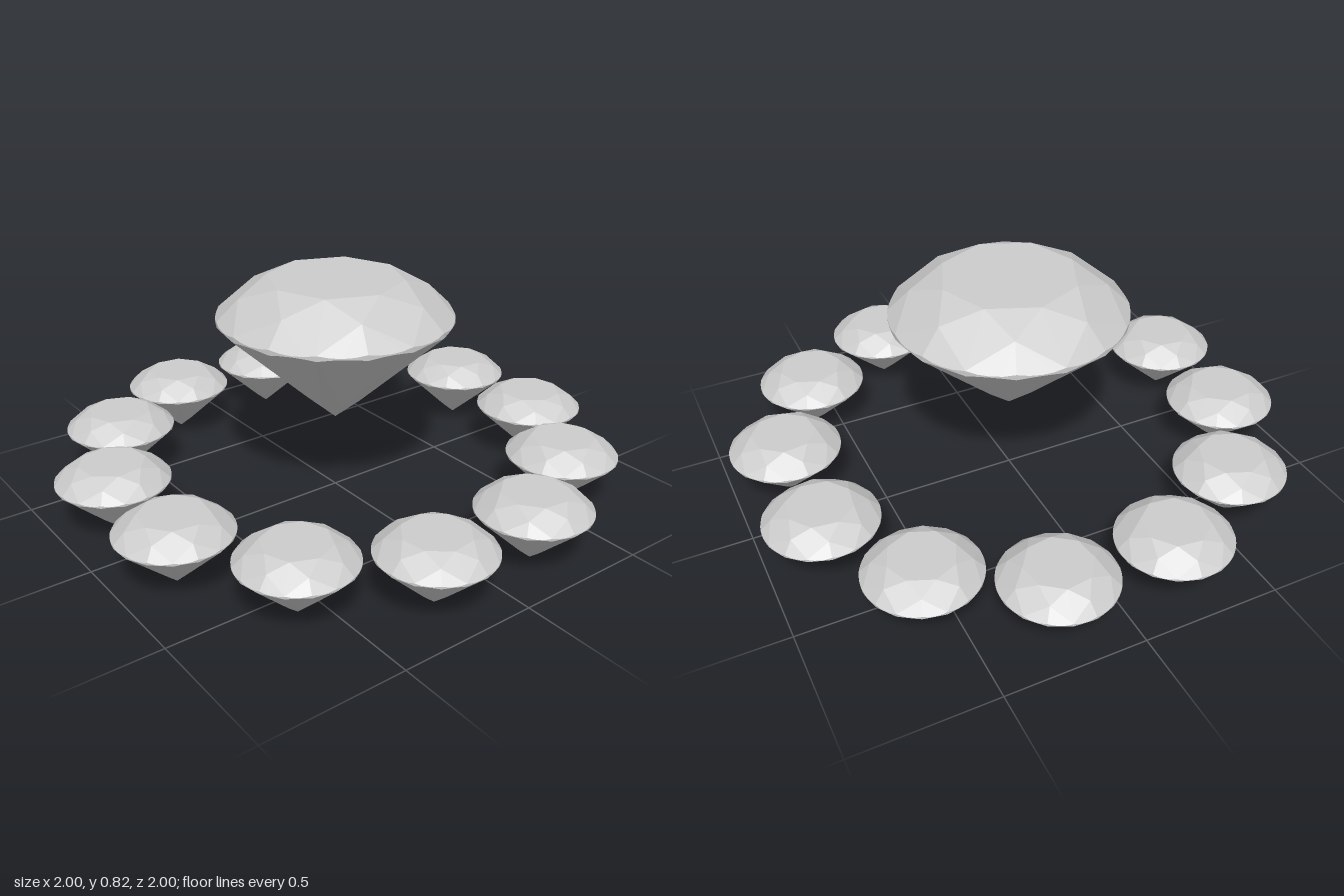
import * as THREE from 'three';

const R = 0.4235;                          // girdle radius of the large stone
const TABLE_R = 0.246, TABLE_Y = 0.537;    // flat top
const UPPER_Y = 0.408, LOWER_Y = 0.388;    // girdle edges at the facet corners
const CROWN_R = 0.345, PAVILION_R = 0.1;   // corners where kite facets are widest
const ARC = 4;                             // girdle steps per half facet
const STEP = Math.PI / 8;

const polar = (r, a, y) => new THREE.Vector3(r * Math.sin(a), y, r * Math.cos(a));

// Round brilliant cut with the culet at the origin
function brilliantGeometry() {
  const positions = [];
  const inside = new THREE.Vector3(0, 0.35, 0);

  // Flat convex polygon as a fan, turned to face outward
  function facet(...p) {
    for (let i = 1; i < p.length - 1; i++) {
      const tri = [p[0], p[i], p[i + 1]];
      const n = new THREE.Triangle(...tri).getNormal(new THREE.Vector3());
      if (n.dot(p[0].clone().sub(inside)) < 0) tri.reverse();
      tri.forEach((v) => positions.push(v.x, v.y, v.z));
    }
  }

  // Edge where a half facet meets the round girdle
  function girdleArc(corner, a0, a1, y) {
    const plane = new THREE.Plane().setFromCoplanarPoints(corner, polar(R, a0, y), polar(R, a1, y));
    return Array.from({ length: ARC + 1 }, (_, i) => {
      const v = polar(R, a0 + (a1 - a0) * i / ARC, 0);
      v.y = -(plane.normal.x * v.x + plane.normal.z * v.z + plane.constant) / plane.normal.y;
      return v;
    });
  }

  // Widest kite corners lie in the plane of the main facets
  const c = Math.cos(STEP);
  const crownY = TABLE_Y - (TABLE_Y - UPPER_Y) * (CROWN_R * c - TABLE_R) / (R - TABLE_R);
  const pavilionY = LOWER_Y * PAVILION_R * c / R;
  const culet = new THREE.Vector3();
  const table = Array.from({ length: 8 }, (_, k) => polar(TABLE_R, 2 * k * STEP, TABLE_Y));

  facet(...table);
  for (let k = 0; k < 8; k++) {
    const a = 2 * k * STEP;
    const crown = [-1, 1].map((s) => polar(CROWN_R, a + s * STEP, crownY));
    const pavilion = [-1, 1].map((s) => polar(PAVILION_R, a + s * STEP, pavilionY));
    facet(table[k], crown[0], polar(R, a, UPPER_Y), crown[1]);         // crown kite
    facet(table[k], crown[1], table[(k + 1) % 8]);                     // star
    facet(culet, pavilion[0], polar(R, a, LOWER_Y), pavilion[1]);      // pavilion main
    [-1, 1].forEach((s, i) => {
      const upper = girdleArc(crown[i], a, a + s * STEP, UPPER_Y);
      const lower = girdleArc(pavilion[i], a, a + s * STEP, LOWER_Y);
      facet(crown[i], ...upper);                                       // upper half
      facet(pavilion[i], ...lower);                                    // lower half
      for (let j = 0; j < ARC; j++) facet(upper[j], upper[j + 1], lower[j + 1], lower[j]);
    });
  }

  const geometry = new THREE.BufferGeometry();
  geometry.setAttribute('position', new THREE.Float32BufferAttribute(positions, 3));
  geometry.computeVertexNormals();
  return geometry;
}

export function createModel() {
  const model = new THREE.Group();
  model.name = 'gemRing';
  const stone = new THREE.MeshStandardMaterial({ color: 0xcccccc });
  stone.name = 'clearStone';
  stone.flatShading = true;
  const geometry = brilliantGeometry();

  // Large stone above the middle
  const centre = new THREE.Mesh(geometry, stone);
  centre.name = 'centreStone';
  centre.position.y = 0.284;
  model.add(centre);

  // Ring of twelve small stones
  const ring = new THREE.Group();
  ring.name = 'stoneRing';
  for (let i = 0; i < 12; i++) {
    const a = (i + 0.5) * Math.PI / 6;
    const small = new THREE.Mesh(geometry, stone);
    small.name = 'smallStone' + (i + 1);
    small.scale.setScalar(0.2 / R);
    small.position.copy(polar(0.827, a, 0.004));
    small.rotation.y = a;
    ring.add(small);
  }
  model.add(ring);
  return model;
}
